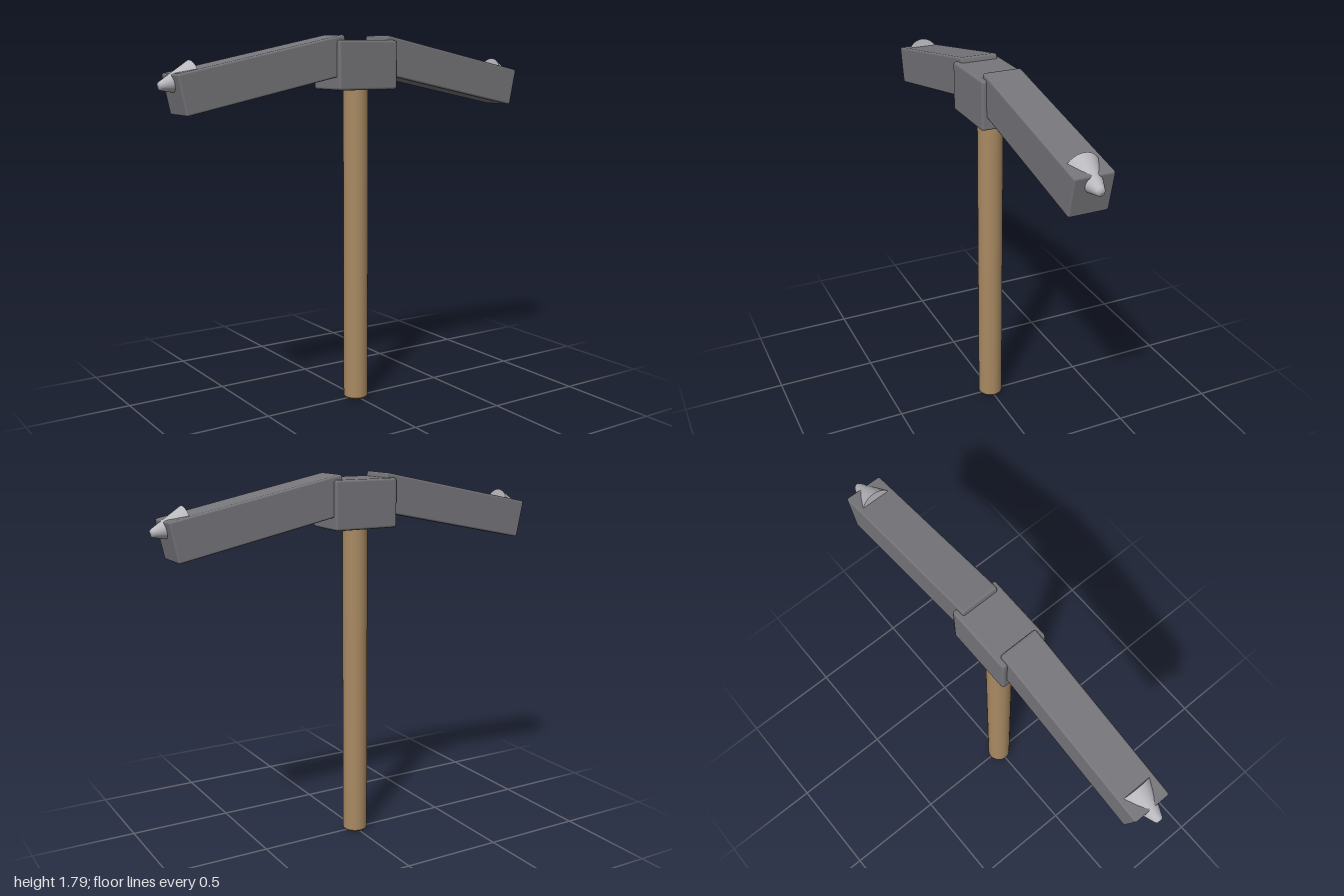
import * as THREE from 'three';
import { RoundedBoxGeometry } from 'three/addons/geometries/RoundedBoxGeometry.js';

const ARM_LENGTH = 0.845, ARM_SIZE = 0.183, ARM_TILT = 0.204;

const material = (color) => new THREE.MeshStandardMaterial({ color });

function part(name, geometry, mat) {
  const mesh = new THREE.Mesh(geometry, mat);
  mesh.name = name;
  return mesh;
}

// Solid of revolution with hard edges: each segment gets its own pair of rings
function turned(points, sides) {
  return new THREE.LatheGeometry(points.map(([r, y]) => new THREE.Vector2(r, y)), sides);
}

export function createModel() {
  const model = new THREE.Group();
  model.name = 'pickaxe';
  const wood = material(0xa98a62);
  const iron = material(0x77767b);
  const steel = material(0xb8b8bd);

  // Wooden shaft with a small bevel at the bottom
  model.add(part('handle', turned([
    [0, 0], [0.05, 0], [0.05, 0], [0.06, 0.01], [0.06, 0.01], [0.06, 1.56], [0.06, 1.56], [0, 1.56],
  ], 32), wood));

  // Block that joins handle and arms
  const socket = part('headBlock', new RoundedBoxGeometry(0.326, 0.23, 0.228, 1, 0.012), iron);
  socket.position.y = 1.65;
  model.add(socket);

  // Two drooping arms, each with a blunt cone breaking through its top and end
  const armGeometry = new RoundedBoxGeometry(ARM_LENGTH, ARM_SIZE, ARM_SIZE, 1, 0.01);
  const spikeGeometry = turned([
    [0, 0], [0.08, 0], [0.08, 0], [0.02, 0.153], [0.015, 0.161], [0, 0.163],
  ], 32);
  for (const side of [1, -1]) {
    const arm = new THREE.Group();
    arm.name = side > 0 ? 'leftArm' : 'rightArm';
    arm.position.set(side * 0.515, 1.615, 0);
    arm.rotation.z = -side * ARM_TILT;
    arm.add(part('armBar', armGeometry, iron));

    const spike = part('spike', spikeGeometry, steel);
    spike.position.set(side * 0.32, 0.05, 0);
    spike.rotation.z = -side * Math.PI / 2;
    arm.add(spike);
    model.add(arm);
  }
  return model;
}
